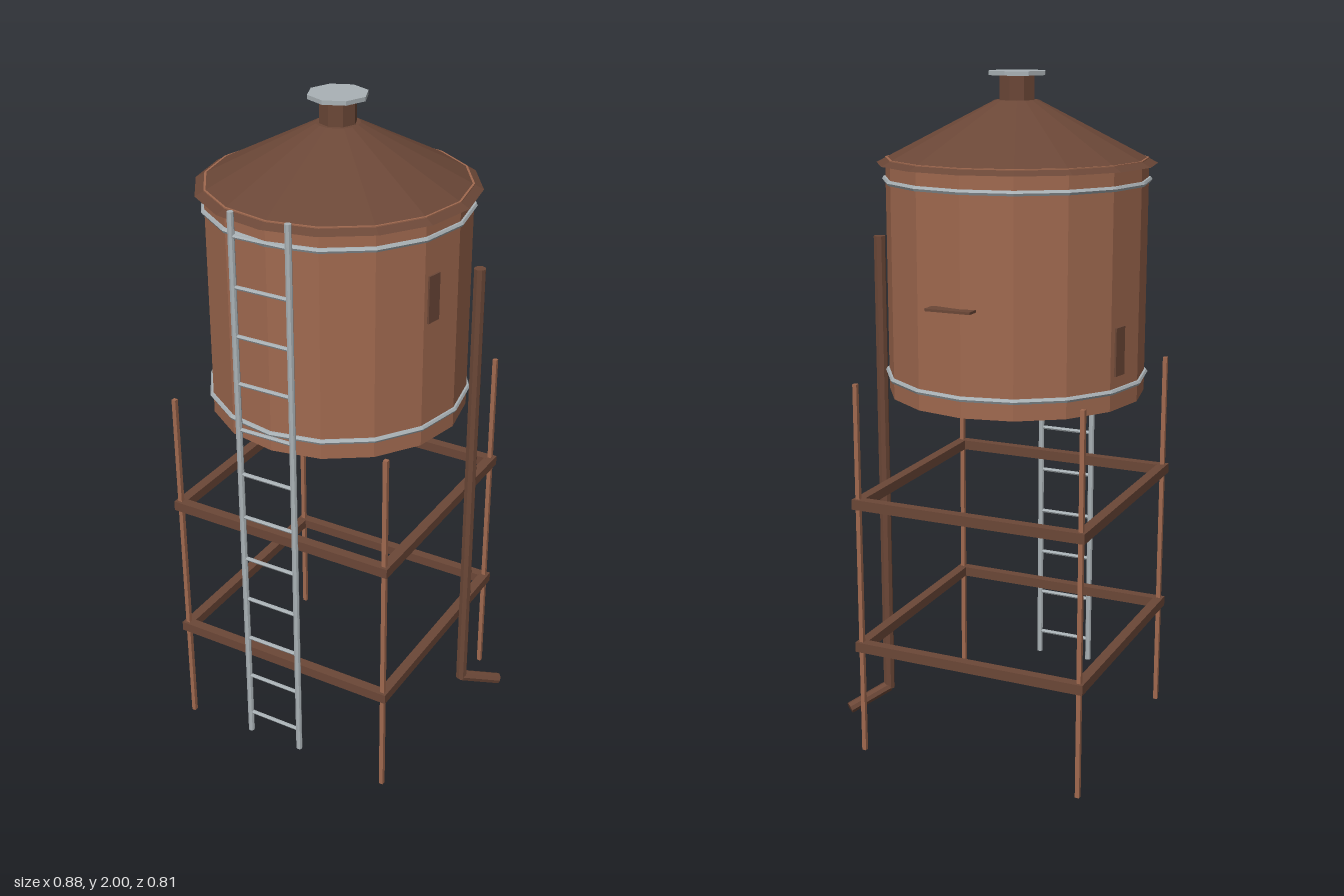
import * as THREE from 'three';

const mat = (name, color) => {
  const m = new THREE.MeshStandardMaterial({ color, flatShading: true });
  m.name = name;
  return m;
};

export function createModel() {
  const rust = mat('rust brown', 0xa0694f);
  const dark = mat('dark brown', 0x6b4737);
  const metal = mat('galvanised metal', 0xaab2b6);

  const model = new THREE.Group();
  model.name = 'waterTower';
  // everything but the ladder and pipe is laid out round the tank axis
  const tower = new THREE.Group();
  tower.name = 'tower';
  tower.position.set(-0.043, 0, -0.005);
  model.add(tower);

  const add = (parent, name, geometry, material, x = 0, y = 0, z = 0) => {
    const mesh = new THREE.Mesh(geometry, material);
    mesh.name = name;
    mesh.position.set(x, y, z);
    parent.add(mesh);
    return mesh;
  };
  const drum = (name, rTop, rBottom, y0, y1, sides, material) =>
    add(tower, name, new THREE.CylinderGeometry(rTop, rBottom, y1 - y0, sides), material, 0, (y0 + y1) / 2);
  // round bar between two points
  const bar = (parent, name, a, b, r, sides, material) => {
    const from = new THREE.Vector3(...a), to = new THREE.Vector3(...b);
    const dir = to.clone().sub(from);
    const mesh = add(parent, name, new THREE.CylinderGeometry(r, r, dir.length(), sides), material);
    mesh.position.copy(from).lerp(to, 0.5);
    mesh.quaternion.setFromUnitVectors(new THREE.Vector3(0, 1, 0), dir.normalize());
    return mesh;
  };

  // tank, conical roof and vent
  drum('tank', 0.375, 0.375, 1.085, 1.762, 16, rust);
  drum('roof', 0.062, 0.4, 1.746, 1.92, 16, dark);
  drum('ventNeck', 0.053, 0.053, 1.91, 1.99, 8, dark);
  drum('ventCap', 0.085, 0.085, 1.988, 2, 8, metal);

  // hoops round the tank
  for (const y of [1.14, 1.7]) {
    add(tower, 'tankBand', new THREE.TorusGeometry(0.377, 0.008, 6, 16), metal, 0, y, 0)
      .rotation.x = Math.PI / 2;
  }

  // small plates lying on the tank facets
  const facet = Math.PI / 16;
  const plate = (angle, slide, y) => {
    const holder = new THREE.Group();
    holder.name = 'sidePlate';
    holder.rotation.y = angle;
    tower.add(holder);
    add(holder, 'plate', new THREE.BoxGeometry(0.009, 0.137, 0.045), dark, 0.369, y, slide);
  };
  plate(-facet, 0.037, 1.523);
  plate(Math.PI - facet, 0.031, 1.25);
  // little shelf at the back
  add(tower, 'backShelf', new THREE.BoxGeometry(0.135, 0.007, 0.045), dark, 0.025, 1.384, -0.382);

  // legs and the two square frames of beams
  const H = 0.346;
  for (const sx of [-1, 1]) {
    for (const sz of [-1, 1]) {
      add(tower, 'leg', new THREE.BoxGeometry(0.013, 1.14, 0.013), rust, sx * H, 0.57, sz * H);
    }
  }
  for (const y of [0.338, 0.783]) {
    for (const s of [-1, 1]) {
      add(tower, 'crossBeam', new THREE.BoxGeometry(0.722, 0.03, 0.03), dark, 0, y, s * H);
      add(tower, 'sideBeam', new THREE.BoxGeometry(0.03, 0.0295, 0.72), dark, s * H, y, 0);
    }
  }

  // ladder
  const ladder = new THREE.Group();
  ladder.name = 'ladder';
  ladder.position.set(-0.043, 0, 0.396);
  model.add(ladder);
  for (const s of [-1, 1]) {
    bar(ladder, 'ladderRail', [s * 0.087, 0.068, 0], [s * 0.087, 1.78, 0], 0.0095, 8, metal);
  }
  for (let i = 0; i < 12; i++) {
    const y = 0.14 + i * 0.143;
    bar(ladder, 'rung', [-0.087, y, 0], [0.087, y, 0], 0.006, 6, metal);
  }

  // drain pipe with its angled spout
  bar(model, 'drainPipe', [0.341, 0.1, -0.124], [0.341, 1.53, -0.124], 0.0175, 8, dark);
  bar(model, 'drainSpout', [0.341, 0.105, -0.124], [0.426, 0.055, -0.226], 0.0175, 8, dark);

  return model;
}
